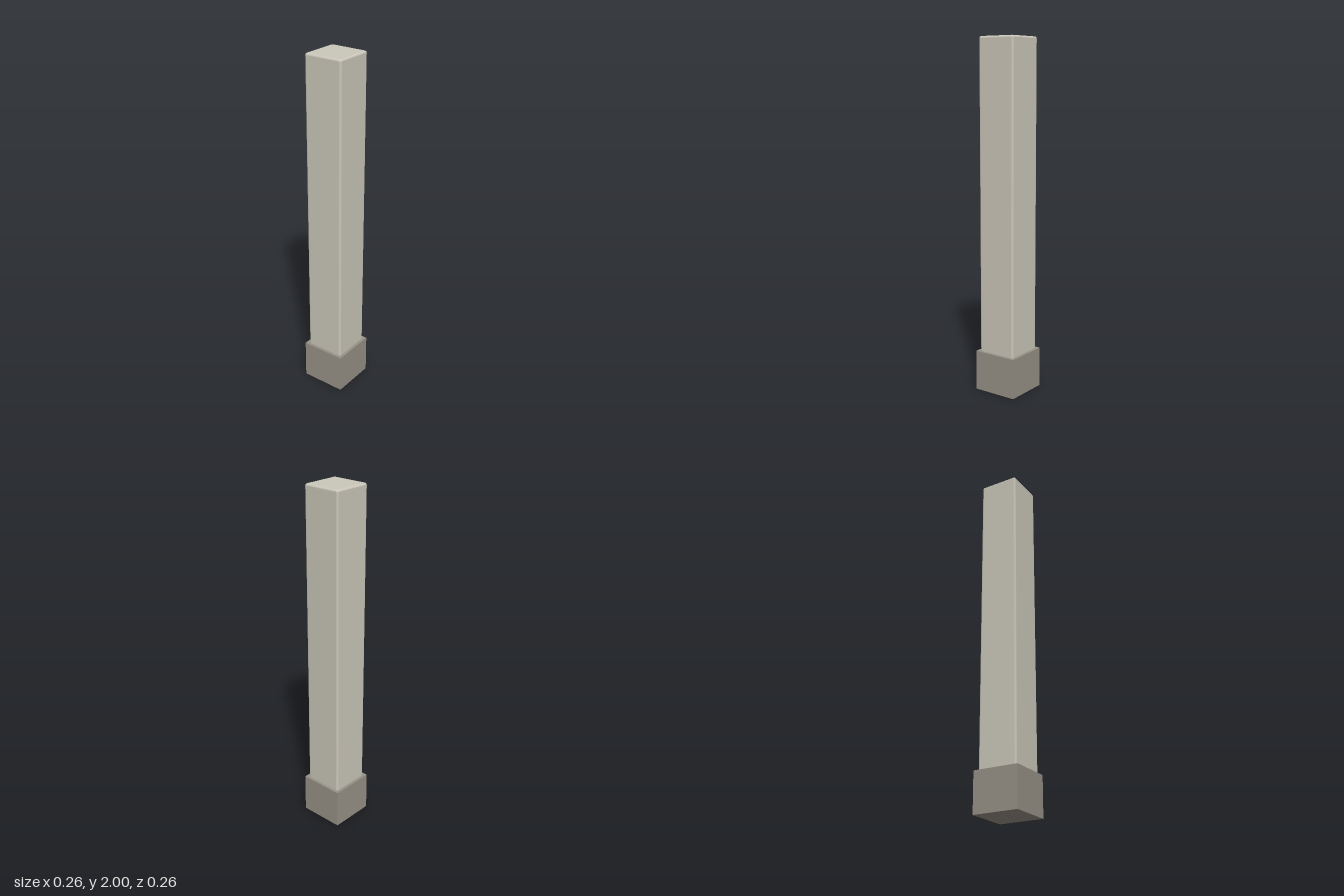
import * as THREE from 'three';
import { RoundedBoxGeometry } from 'three/addons/geometries/RoundedBoxGeometry.js';

const POST_WIDTH = 0.229;
const BASE_WIDTH = 0.263;
const BASE_HEIGHT = 0.23;
const HEIGHT = 2;
const INSET = 0.005; // keeps the post's foot just inside the base

function addPart(group, name, geometry, color, y) {
  const mesh = new THREE.Mesh(geometry, new THREE.MeshStandardMaterial({ color }));
  mesh.name = name;
  mesh.position.y = y;
  group.add(mesh);
}

export function createModel() {
  const group = new THREE.Group();
  group.name = 'squarePost';

  // Tall square post with softly rounded edges
  const postHeight = HEIGHT - INSET;
  addPart(group, 'post',
    new RoundedBoxGeometry(POST_WIDTH, postHeight, POST_WIDTH, 3, 0.012),
    0xcbc7ba, INSET + postHeight / 2);

  // Sharp-edged plinth around the foot of the post
  addPart(group, 'base',
    new THREE.BoxGeometry(BASE_WIDTH, BASE_HEIGHT, BASE_WIDTH),
    0x979186, BASE_HEIGHT / 2);

  return group;
}
